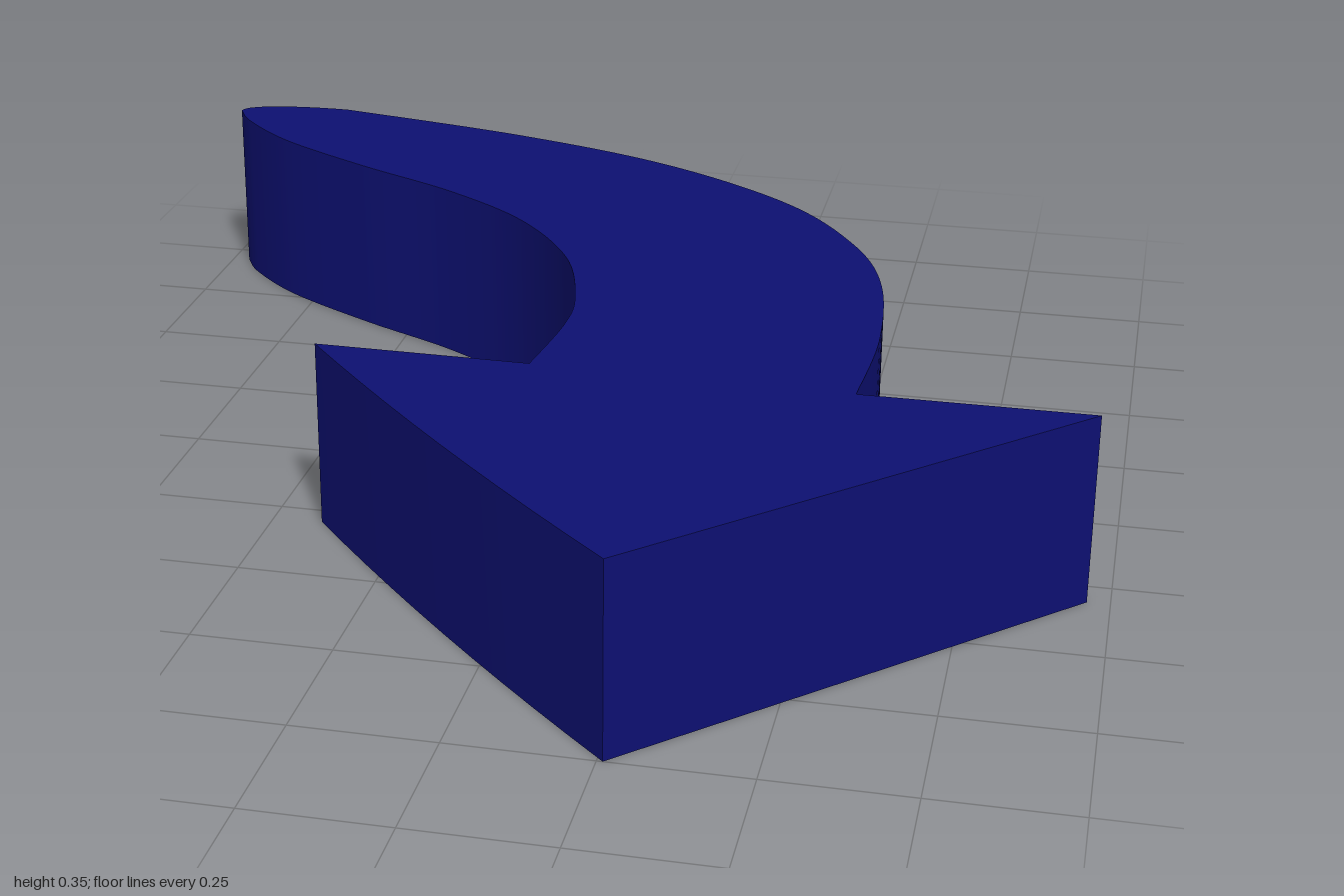
import * as THREE from 'three';
import { toCreasedNormals } from 'three/addons/utils/BufferGeometryUtils.js';

const HEIGHT = 0.35;

// Points are [x, z]; the shape is drawn with y = -z so that it lies flat once rotated.
const toVectors = (points) => points.map(([x, z]) => new THREE.Vector2(x, -z));

export function createModel() {
  const group = new THREE.Group();
  group.name = 'curvedArrow';

  const outline = new THREE.Shape();

  // Arrowhead: tip, right barb and right shoulder
  outline.moveTo(0.26, -1);
  outline.lineTo(0.96, -0.31);
  outline.lineTo(0.55, -0.31);

  // Outer edge of the tail
  outline.splineThru(toVectors([
    [0.56, 0.06], [0.53, -0.21], [0.45, -0.41], [0.29, -0.61],
    [0.01, -0.79], [-0.33, -0.91], [-0.74, -1],
  ]));

  // Rounded tail end
  outline.bezierCurveTo(-0.86, 1.003, -0.965, 0.985, -0.965, 0.945);

  // Inner edge of the tail
  outline.splineThru(toVectors([
    [-0.92, -0.875], [-0.8, -0.765], [-0.6, -0.645], [-0.38, -0.53],
    [-0.2, -0.395], [-0.07, -0.215], [-0.01, -0.02], [0, 0.11], [-0.02, 0.3],
  ]));

  // Left barb, with a slightly bowed edge back to the tip
  outline.lineTo(-0.41, -0.295);
  outline.quadraticCurveTo(-0.1, -0.662, 0.26, -1);

  const extruded = new THREE.ExtrudeGeometry(outline, {
    depth: HEIGHT, bevelEnabled: false, curveSegments: 10,
  });
  extruded.rotateX(-Math.PI / 2);

  const arrow = new THREE.Mesh(
    toCreasedNormals(extruded, Math.PI / 6),
    new THREE.MeshStandardMaterial({ color: 0x0d1072 }),
  );
  arrow.name = 'arrow';
  group.add(arrow);
  return group;
}
